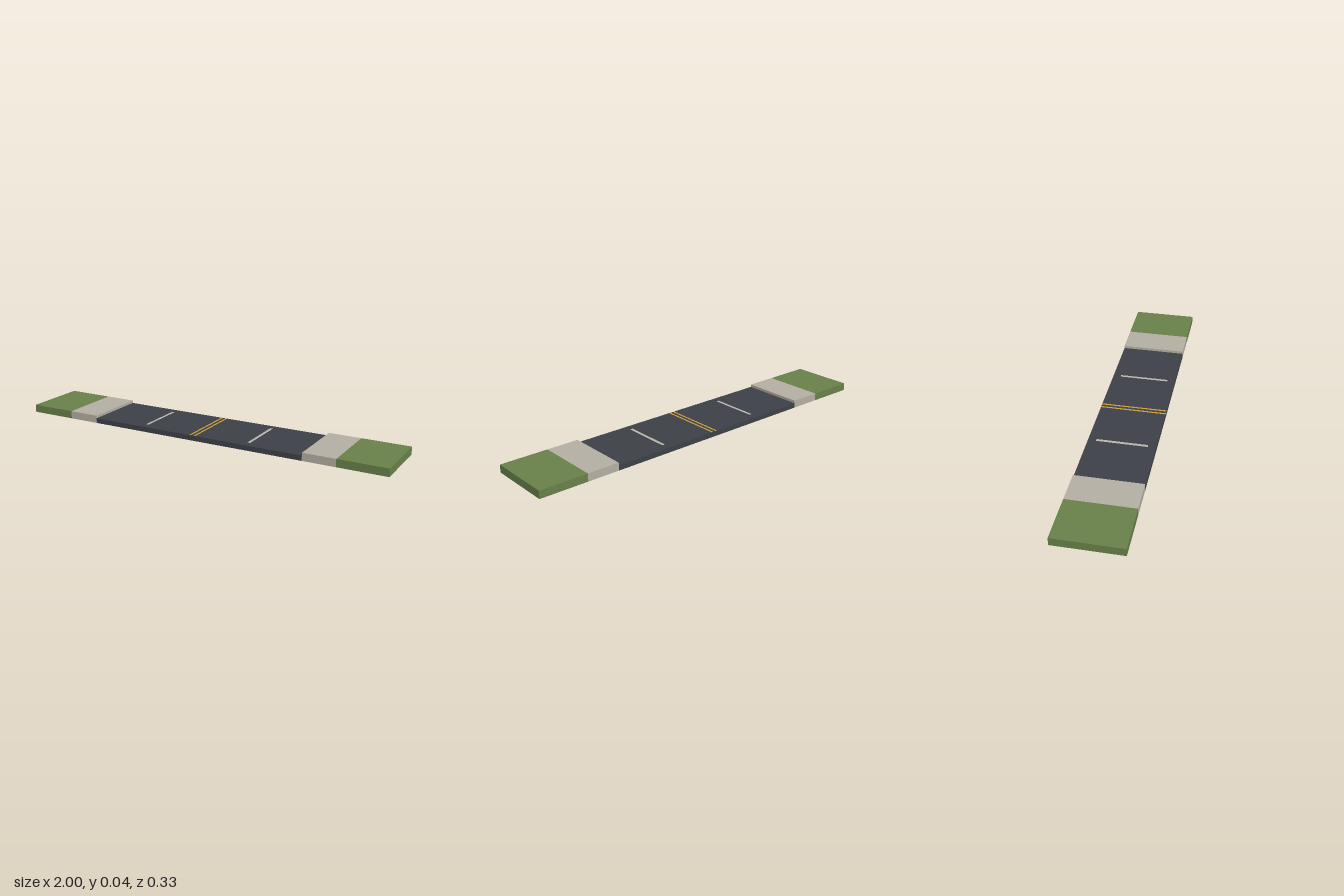
import * as THREE from 'three';

const DEPTH = 0.334, ROAD_TOP = 0.026, CURB_TOP = 0.04;

const material = (name, color) => {
  const m = new THREE.MeshStandardMaterial({ color, side: THREE.DoubleSide });
  m.name = name;
  return m;
};

// Box standing on y = 0 that keeps only the listed faces
// (0 +x, 1 -x, 2 top, 3 bottom, 4 front, 5 back)
function shell(name, x0, x1, height, faces, mat) {
  const geo = new THREE.BoxGeometry(x1 - x0, height, DEPTH);
  const all = Array.from(geo.index.array);
  geo.setIndex(faces.flatMap((f) => all.slice(f * 6, f * 6 + 6)));
  geo.clearGroups();
  geo.translate((x0 + x1) / 2, height / 2, 0);
  const mesh = new THREE.Mesh(geo, mat);
  mesh.name = name;
  return mesh;
}

// Painted line lying on the road
function line(name, x, width, length, mat) {
  const geo = new THREE.PlaneGeometry(width, length).rotateX(-Math.PI / 2);
  const mesh = new THREE.Mesh(geo, mat);
  mesh.position.set(x, ROAD_TOP + 0.001, 0);
  mesh.name = name;
  return mesh;
}

export function createModel() {
  const asphalt = material('asphalt', 0x3c4147);
  const concrete = material('concrete', 0xb3aea2);
  const grass = material('grass', 0x688049);
  const yellow = material('yellowPaint', 0xd0a030);
  const white = material('whitePaint', 0xb8b5aa);

  const model = new THREE.Group();
  model.name = 'roadSection';

  // Road bed, open underneath
  model.add(shell('road', -0.585, 0.585, ROAD_TOP, [2, 4, 5], asphalt));

  // Sidewalks with curb walls, and grass verges with outer end walls
  model.add(
    shell('leftSidewalk', 0.585, 0.752, CURB_TOP, [1, 2, 4, 5], concrete),
    shell('rightSidewalk', -0.752, -0.585, CURB_TOP, [0, 2, 4, 5], concrete),
    shell('leftVerge', 0.752, 1, CURB_TOP, [0, 2, 4, 5], grass),
    shell('rightVerge', -1, -0.752, CURB_TOP, [1, 2, 4, 5], grass),
  );

  // Double centre line and one lane dash on each side
  for (const [side, s] of [['left', 1], ['right', -1]]) {
    model.add(line(side + 'CentreLine', s * 0.0125, 0.01, DEPTH, yellow));
    model.add(line(side + 'LaneDash', s * 0.292, 0.015, 0.254, white));
  }
  return model;
}
